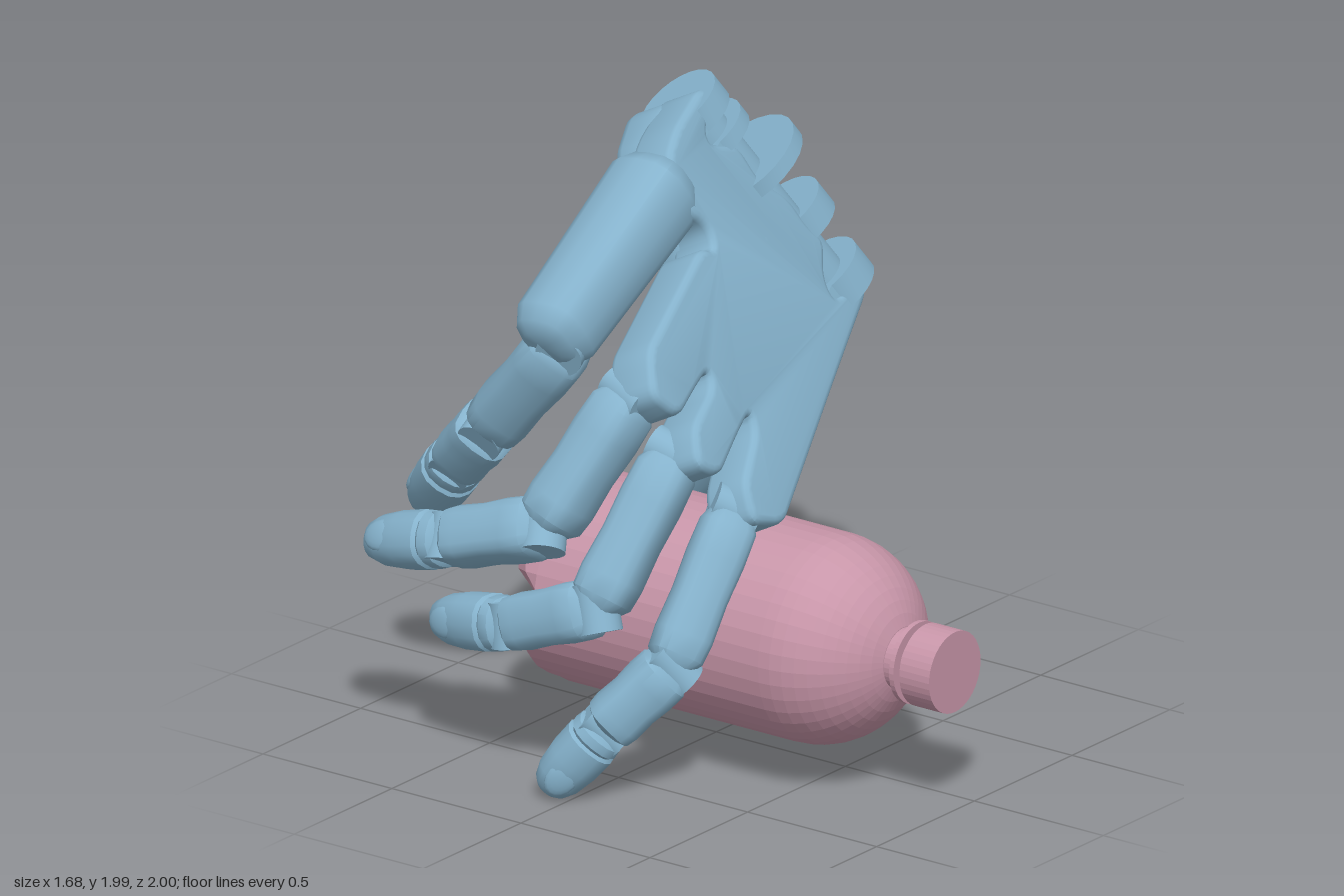
import * as THREE from 'three';
import { toCreasedNormals } from 'three/addons/utils/BufferGeometryUtils.js';

const V = (x, y, z) => new THREE.Vector3(x, y, z);
const handMat = new THREE.MeshStandardMaterial({ color: 0x86b3cd });
const bottleMat = new THREE.MeshStandardMaterial({ color: 0xc896a9, flatShading: true });
const redMat = new THREE.MeshStandardMaterial({ color: 0xcc1111, flatShading: true });

// Palm frame: N faces out of the back of the hand, E1 runs to the wrist, E2 across the knuckles
const N = V(0.129, 0.456, 0.88).normalize();
const E1 = V(0.873, 0.367, -0.318).addScaledVector(N, -V(0.873, 0.367, -0.318).dot(N)).normalize();
const E2 = N.clone().cross(E1);
const FACE = 0.685;
const toPalm = p => V(p.dot(E1), p.dot(E2), p.dot(N));
const onPalm = ([x, y]) => {
  const q = toPalm(V(x, y, (FACE - N.x * x - N.y * y) / N.z));
  return new THREE.Vector2(q.x, q.y);
};

function add(parent, name, geometry, material = handMat) {
  const mesh = new THREE.Mesh(geometry, material);
  mesh.name = name;
  parent.add(mesh);
  return mesh;
}

// Plate parallel to the palm, from depth top to depth bottom, with rounded corners and a bevelled rim.
// taper thins its underside towards the fingers.
function plate(parent, name, corners, top, bottom, radius, bevel, taper = 0) {
  const pts = corners.map(onPalm);
  const shape = new THREE.Shape();
  pts.forEach((p, i) => {
    const prev = pts[(i + pts.length - 1) % pts.length], next = pts[(i + 1) % pts.length];
    const near = q => p.clone().lerp(q, Math.min(0.48, radius / p.distanceTo(q)));
    const a = near(prev), b = near(next);
    if (i) shape.lineTo(a.x, a.y); else shape.moveTo(a.x, a.y);
    shape.quadraticCurveTo(p.x, p.y, b.x, b.y);
  });
  shape.closePath();
  const geo = new THREE.ExtrudeGeometry(shape, {
    depth: bottom - top - 2 * bevel, bevelThickness: bevel, bevelSize: bevel,
    bevelOffset: -bevel, bevelSegments: 3, curveSegments: 5,
  });
  geo.translate(0, 0, FACE - bottom + bevel);
  const pos = geo.attributes.position, us = pts.map(p => p.x);
  const u0 = Math.min(...us), u1 = Math.max(...us);
  for (let i = 0; i < pos.count; i++) {
    const k = 1 - taper * (u1 - pos.getX(i)) / (u1 - u0);
    pos.setZ(i, FACE - top + (pos.getZ(i) - FACE + top) * k);
  }
  return add(parent, name, toCreasedNormals(geo, 0.6));
}

const GRIP = V(-0.1, 0.45, -0.1);
const BONE = [[0, 0.5], [0.03, 0.78], [0.1, 0.97], [0.3, 1], [0.55, 0.95], [0.8, 1], [0.93, 0.95], [1, 0.65]];
const TIP = [[0, 0.7], [0.05, 0.95], [0.15, 1], [0.19, 0.9], [0.22, 1.03], [0.5, 1.03], [0.75, 0.92], [0.9, 0.7], [0.97, 0.42], [1, 0.14]];
const BAR = [[0, 0.5], [0.03, 0.8], [0.1, 1], [0.9, 1], [0.97, 0.8], [1, 0.5]];
const MOUND = [[0, 0.15], [0.05, 0.5], [0.15, 0.8], [0.35, 1], [0.7, 1], [0.92, 0.95], [1, 0.65]];

// Axes of a finger part: d along it, up away from the grip, side across it
function axes(a, b) {
  const d = b.clone().sub(a).normalize();
  const up = a.clone().add(b).multiplyScalar(0.5).sub(GRIP);
  up.addScaledVector(d, -up.dot(d)).normalize();
  return { d, up, side: up.clone().cross(d) };
}

// Loft of rings from a to b; a lower power gives squarer rings
function limb(parent, name, a, b, ra, rb, profile, power = 0.85) {
  const { up, side } = axes(a, b), M = 16, pos = [], idx = [];
  const soft = c => Math.sign(c) * Math.abs(c) ** power;
  for (const [t, s] of profile) {
    const c = a.clone().lerp(b, t), r = s * (ra + (rb - ra) * t);
    for (let j = 0; j < M; j++) {
      const q = j / M * Math.PI * 2;
      pos.push(...c.clone().addScaledVector(side, r * soft(Math.cos(q))).addScaledVector(up, r * soft(Math.sin(q))));
    }
  }
  const last = (profile.length - 1) * M, end = pos.length / 3;
  pos.push(...a, ...b);
  for (let j = 0; j < M; j++) {
    const k = (j + 1) % M;
    for (let i = 0; i < last; i += M) idx.push(i + j, i + k, i + M + k, i + j, i + M + k, i + M + j);
    idx.push(end, k, j, end + 1, last + j, last + k);
  }
  const geo = new THREE.BufferGeometry();
  geo.setAttribute('position', new THREE.Float32BufferAttribute(pos, 3));
  geo.setIndex(idx);
  return add(parent, name, toCreasedNormals(geo, 0.7));
}

// Hinge pin across a joint
function pin(parent, name, center, axis, radius, length) {
  const mesh = add(parent, name, toCreasedNormals(new THREE.CylinderGeometry(radius, radius, length, 24), 0.6));
  mesh.position.copy(center);
  mesh.quaternion.setFromUnitVectors(V(0, 1, 0), axis);
  return mesh;
}

// Finger: two bones, a capped tip with a nail, and pins at the joints
function finger(name, joints, radii, power) {
  const g = new THREE.Group(), p = joints.map(j => V(...j));
  g.name = name;
  for (let i = 0; i < 3; i++) {
    if (i < 2) limb(g, 'phalanx', p[i], p[i + 1], radii[i], radii[i + 1], BONE, power);
    else limb(g, 'fingertip', p[i], p[i + 1], radii[i], radii[i + 1], TIP);
    pin(g, 'jointPin', p[i], axes(p[i], p[i + 1]).side, radii[i] * 0.72, radii[i] * 1.6);
  }
  const { d, up, side } = axes(p[2], p[3]);
  const nail = add(g, 'nail', new THREE.SphereGeometry(1, 16, 10));
  nail.position.copy(p[2].clone().lerp(p[3], 0.66)).addScaledVector(up, radii[3] * 0.78);
  nail.quaternion.setFromRotationMatrix(new THREE.Matrix4().makeBasis(side, up, d));
  nail.scale.set(radii[3] * 0.6, radii[3] * 0.25, radii[3] * 0.85);
  return g;
}

function buildPalm() {
  const palm = new THREE.Group();
  palm.name = 'palm';
  palm.quaternion.setFromRotationMatrix(new THREE.Matrix4().makeBasis(E1, E2, N));
  // Back of the hand with three forked knuckles and a slotted wrist edge
  plate(palm, 'handBack', [
    [-0.14, 0.81], [0.4, 1.07], [0.75, 1.235], [0.71, 1.3], [0.56, 1.26], [0.55, 1.33], [0.63, 1.42],
    [0.57, 1.48], [0.53, 1.58], [0.42, 1.66], [0.38, 1.78], [0.24, 1.82], [0.25, 1.86], [0.37, 1.93],
    [0.31, 1.97], [0.1, 1.91], [-0.01, 1.85], [-0.01, 1.69], [0.07, 1.63], [0.05, 1.56], [-0.01, 1.59],
    [-0.48, 1.43], [-0.56, 1.31], [-0.46, 1.22], [-0.3, 1.27], [-0.22, 1.29], [-0.24, 1.24], [-0.41, 1.18],
    [-0.47, 1.08], [-0.37, 1.02], [-0.2, 1.09], [-0.09, 1.13], [-0.11, 1.07], [-0.27, 0.97], [-0.3, 0.86],
  ], 0, 0.17, 0.05, 0.025);
  // Thicker heel behind it, wedge-shaped towards the fingers
  plate(palm, 'palmHeel', [
    [0.12, 1.0], [0.7, 1.27], [0.63, 1.44], [0.39, 1.93], [0.28, 1.97], [0.08, 1.89], [0.06, 1.6], [0.03, 1.25],
  ], 0.1, 0.31, 0.06, 0.05, 0.45);
  // Web joining the rear finger bar to the palm
  plate(palm, 'barWeb', [[-0.12, 1.62], [-0.1, 1.76], [0.02, 1.85], [0.2, 1.8], [0.12, 1.6]], 0.13, 0.27, 0.04, 0.03);
  // Wrist barrel and its row of round lugs: [along, outward, radius, thickness]
  const base = toPalm(V(0.66, 1.29, -0.11));
  const at = (t, out) => base.clone().add(V(out, t, 0));
  pin(palm, 'wristBarrel', at(0.34, -0.03), V(0, 1, 0), 0.1, 0.72);
  for (const [t, out, r, w] of [[-0.045, 0, 0.15, 0.1], [0.18, 0.06, 0.14, 0.09], [0.42, 0.05, 0.2, 0.05],
    [0.6, 0, 0.14, 0.05], [0.72, -0.01, 0.14, 0.08]]) {
    pin(palm, 'wristLug', at(t, out), V(0, 1, 0), r, w);
    const web = add(palm, 'lugWeb', new THREE.BoxGeometry(0.2, w, 0.2));
    web.position.copy(at(t, out - 0.12));
  }
  return palm;
}

function buildBottle() {
  const g = new THREE.Group();
  g.name = 'bottle';
  g.position.set(-0.1, 0.45, 0);
  const lathe = (name, pts) => {
    const geo = new THREE.LatheGeometry(pts.map(p => new THREE.Vector2(...p)), 40);
    return add(g, name, geo.rotateX(Math.PI / 2), bottleMat);
  };
  // Body with a domed shoulder
  const profile = [[0, -0.49], [0.12, -0.51], [0.24, -0.52], [0.3, -0.49], [0.334, -0.44], [0.334, -0.38]];
  for (let i = 0; i <= 10; i++) {
    const a = i / 10 * 1.26;
    profile.push([0.334 * Math.cos(a), 0.49 + 0.325 * Math.sin(a)]);
  }
  profile.push([0, 0.8]);
  const body = lathe('body', profile).geometry, p = body.attributes.position;
  // Five wedge grooves cut into the base
  for (let i = 0; i < p.count; i++) {
    const x = p.getX(i), y = p.getY(i), z = p.getZ(i), r = Math.hypot(x, y);
    if (z > -0.4 || r < 0.05) continue;
    const step = Math.PI * 0.4, turn = (Math.atan2(y, x) - 1.87) / step;
    const groove = Math.max(0, 1 - Math.abs(turn - Math.round(turn)) * step / 0.34) * r / 0.33;
    p.setXYZ(i, x * (1 - 0.06 * groove), y * (1 - 0.06 * groove), Math.min(z + 0.12 * groove, -0.385));
  }
  body.computeVertexNormals();
  // Neck with a collar, then the cap
  lathe('neck', [[0.1, 0.78], [0.1, 0.845], [0.132, 0.845], [0.132, 0.862], [0.1, 0.862], [0.1, 0.9]]);
  lathe('cap', [[0, 0.885], [0.132, 0.885], [0.132, 1], [0, 1]]);
  // Small red marker at the base
  const marker = add(g, 'marker', new THREE.ConeGeometry(0.045, 0.1, 4), redMat);
  marker.position.set(-0.055, -0.245, -0.525);
  marker.quaternion.setFromUnitVectors(V(0, 1, 0), V(-0.1, -0.4, -0.9).normalize());
  return g;
}

export function createModel() {
  const root = new THREE.Group();
  root.name = 'handHoldingBottle';
  root.add(buildPalm(), buildBottle());

  // Separate bar carrying the rear finger, and the bulge under the thumb
  limb(root, 'rearFingerBar', V(-0.57, 1.38, -0.24), V(0.08, 1.76, -0.25), 0.125, 0.145, BAR, 0.7);
  limb(root, 'thumbMound', V(0.22, 1.66, -0.28), V(0.44, 1.06, -0.09), 0.18, 0.15, MOUND);

  root.add(
    finger('frontFinger', [[-0.25, 0.86, 0.26], [-0.55, 0.43, 0.24], [-0.68, 0.23, 0.08], [-0.76, 0.01, -0.09]], [0.092, 0.092, 0.088, 0.082], 0.65),
    finger('secondFinger', [[-0.4, 1.06, 0.14], [-0.68, 0.62, 0.05], [-0.7, 0.5, -0.27], [-0.64, 0.43, -0.6]], [0.095, 0.098, 0.09, 0.085], 0.65),
    finger('thirdFinger', [[-0.49, 1.26, 0.04], [-0.72, 0.86, -0.12], [-0.75, 0.75, -0.47], [-0.72, 0.66, -0.8]], [0.098, 0.1, 0.092, 0.085], 0.65),
    finger('rearFinger', [[-0.47, 1.38, -0.22], [-0.43, 1.01, -0.55], [-0.35, 0.84, -0.73], [-0.2, 0.59, -0.975]], [0.105, 0.1, 0.095, 0.09], 0.65),
    finger('thumb', [[0.44, 1.13, -0.06], [0.52, 0.77, -0.36], [0.52, 0.51, -0.58], [0.5, 0.22, -0.8]], [0.13, 0.12, 0.11, 0.1], 0.85),
  );
  return root;
}
